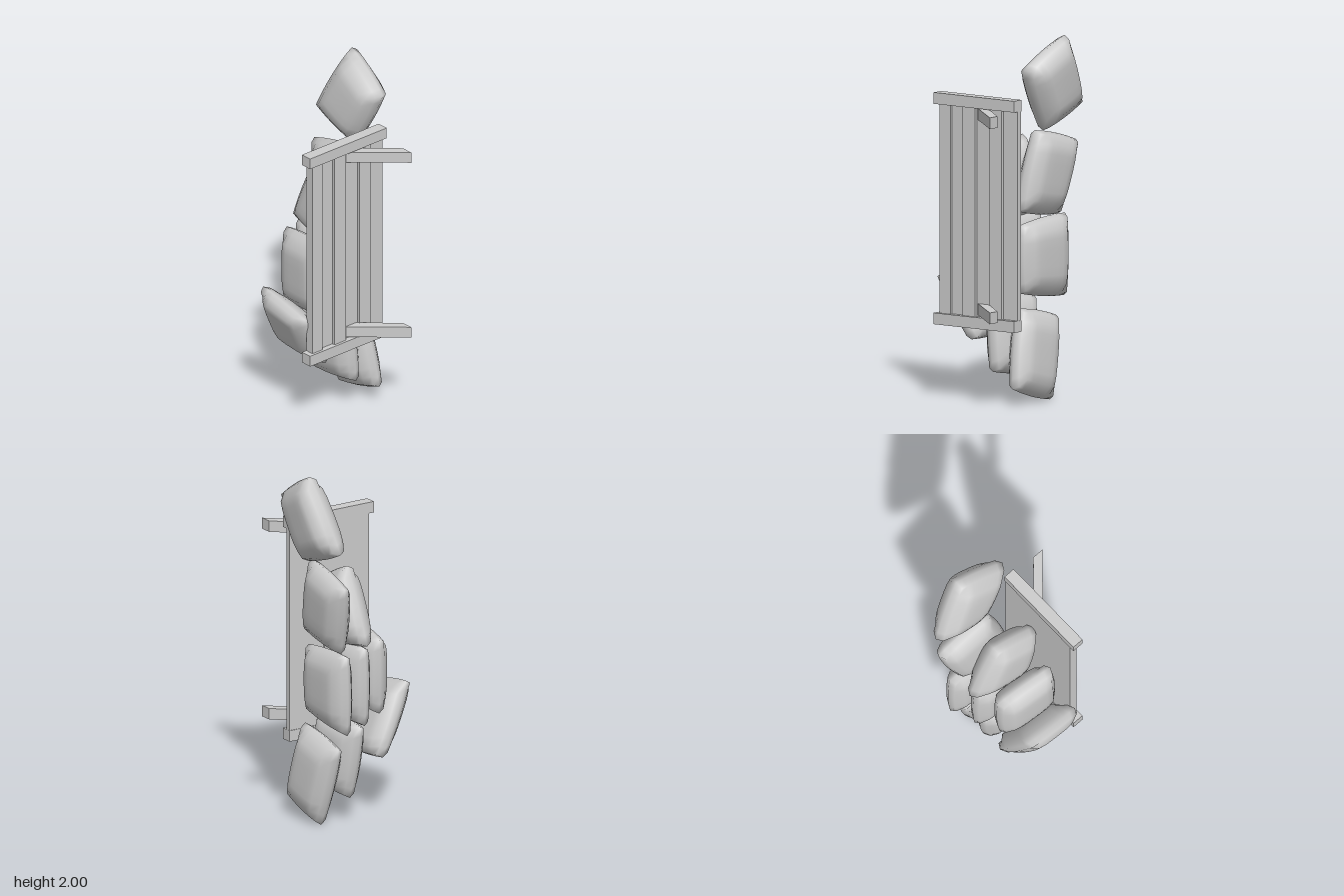
import * as THREE from 'three';
import { mergeVertices } from 'three/addons/utils/BufferGeometryUtils.js';

const material = new THREE.MeshStandardMaterial({ color: 0xcccccc });

function add(group, name, geometry) {
  const mesh = new THREE.Mesh(geometry, material);
  mesh.name = name;
  group.add(mesh);
  return mesh;
}

// Box given by its limits on each axis
function box(group, name, x0, x1, y0, y1, z0, z1) {
  const mesh = add(group, name, new THREE.BoxGeometry(x1 - x0, y1 - y0, z1 - z0));
  mesh.position.set((x0 + x1) / 2, (y0 + y1) / 2, (z0 + z1) / 2);
}

// Stuffed sack spanned between four corners: bottom left, bottom right, top right, top left
function sackGeometry(corners, thickness) {
  const [bl, br, tr, tl] = corners.map((c) => new THREE.Vector3(...c));
  let geometry = new THREE.BoxGeometry(2, 2, 2, 8, 8, 2);
  geometry.deleteAttribute('uv');
  geometry.deleteAttribute('normal');
  geometry = mergeVertices(geometry);
  const pos = geometry.attributes.position;
  const bottom = new THREE.Vector3(), top = new THREE.Vector3();
  for (let i = 0; i < pos.count; i++) {
    const u = pos.getX(i), v = pos.getY(i), w = pos.getZ(i);
    // faces are smaller than the seam, and the sides bulge outwards
    const inset = 1 - 0.08 * Math.abs(w);
    const s = (u * inset * (1 + 0.07 * (1 - v * v)) + 1) / 2;
    const t = (v * inset * (1 + 0.05 * (1 - u * u)) + 1) / 2;
    bottom.lerpVectors(bl, br, s);
    top.lerpVectors(tl, tr, s);
    bottom.lerp(top, t);
    const fill = 0.42 + 0.58 * Math.sqrt((1 - u ** 4) * (1 - v ** 4));
    pos.setXYZ(i, bottom.x, bottom.y, bottom.z + w * fill * thickness / 2);
  }
  geometry.computeVertexNormals();
  return geometry;
}

export function createModel() {
  const model = new THREE.Group();
  model.name = 'sackPile';

  // Upright plank panel, every other plank set back
  const panel = new THREE.Group();
  panel.name = 'plankPanel';
  model.add(panel);
  const seams = [-0.228, -0.132, -0.048, 0.048, 0.132, 0.217, 0.29];
  for (let i = 0; i < 6; i++) {
    box(panel, 'plank', 0.118, i % 2 ? 0.165 : 0.148, 0.46, 1.62, seams[i], seams[i + 1]);
  }

  // End beams and slanted struts
  for (const y of [0.407, 1.61]) box(panel, 'endBeam', 0.114, 0.18, y, y + 0.062, -0.23, 0.32);
  const strut = new THREE.Shape([
    new THREE.Vector2(0.147, -0.042), new THREE.Vector2(0.147, 0.036),
    new THREE.Vector2(0.32, 0.225), new THREE.Vector2(0.387, 0.225),
  ]);
  for (const y of [0.478, 1.543]) {
    const geometry = new THREE.ExtrudeGeometry(strut, { depth: 0.062, bevelEnabled: false });
    geometry.rotateX(-Math.PI / 2);
    add(panel, 'strut', geometry).position.y = y;
  }

  // Sacks in three layers, from back to front
  const sacks = [
    ['backSack', 0.185, [-0.385, 1.6, -0.235], [-0.07, 1.485, -0.235], [0.12, 1.835, -0.255], [-0.18, 2, -0.295]],
    ['backSack', 0.16, [-0.285, 1, -0.165], [0.05, 1.05, -0.155], [-0.05, 1.485, -0.195], [-0.39, 1.4, -0.21]],
    ['backSack', 0.15, [-0.345, 0.55, -0.165], [0.035, 0.6, -0.155], [0.04, 0.97, -0.155], [-0.345, 1, -0.17]],
    ['backSack', 0.155, [-0.16, 0.005, -0.21], [0.155, 0.095, -0.2], [0.06, 0.52, -0.165], [-0.27, 0.45, -0.17]],
    ['middleSack', 0.18, [-0.33, 1.03, -0.025], [0.03, 0.96, 0.01], [0.125, 1.3, -0.01], [-0.15, 1.44, -0.03]],
    ['middleSack', 0.15, [-0.3, 0.57, -0.02], [0.06, 0.58, -0.02], [0.06, 1, -0.02], [-0.3, 1.01, -0.02]],
    ['middleSack', 0.16, [-0.2, 0.14, -0.05], [0.135, 0.175, -0.05], [0.11, 0.58, -0.02], [-0.26, 0.55, -0.02]],
    ['frontSack', 0.17, [-0.24, 0.6, 0.115], [0.11, 0.62, 0.15], [0.095, 1.055, 0.155], [-0.25, 1.02, 0.11]],
    ['leaningSack', 0.17, [-0.25, 0.35, 0.13], [0.09, 0.33, 0.13], [0.13, 0.67, 0.315], [-0.21, 0.74, 0.315]],
  ];
  for (const [name, thickness, ...corners] of sacks) add(model, name, sackGeometry(corners, thickness));

  return model;
}
